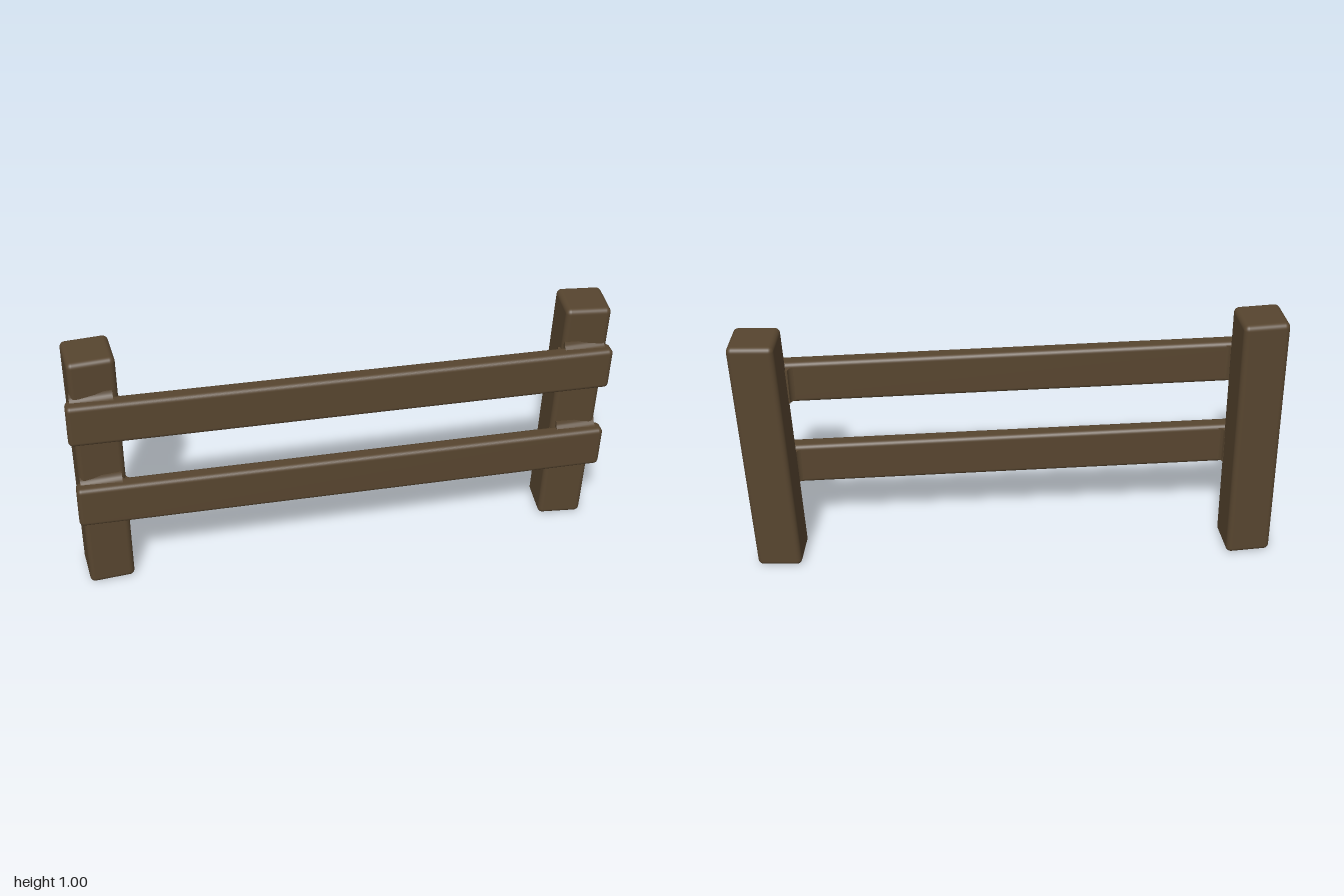
import * as THREE from 'three';
import { RoundedBoxGeometry } from 'three/addons/geometries/RoundedBoxGeometry.js';
import { toCreasedNormals } from 'three/addons/utils/BufferGeometryUtils.js';

const wood = new THREE.MeshStandardMaterial({ color: 0x57452f });
wood.name = 'dark brown wood';

const X = new THREE.Vector3(1, 0, 0);
const Y = new THREE.Vector3(0, 1, 0);
const Z = new THREE.Vector3(0, 0, 1);
const neg = (v) => v.clone().negate();

function addMesh(group, name, geometry) {
  const mesh = new THREE.Mesh(geometry, wood);
  mesh.name = name;
  group.add(mesh);
  return mesh;
}

// Concave strip filling the inside corner between directions u and v
function filletGeometry(corner, u, v, length, r) {
  const sunk = -0.015;
  const shape = new THREE.Shape();
  shape.moveTo(sunk, sunk);
  shape.lineTo(r, sunk);
  shape.lineTo(r, 0);
  shape.quadraticCurveTo(r * 0.15, r * 0.15, 0, r);
  shape.lineTo(sunk, r);
  shape.closePath();
  const geo = new THREE.ExtrudeGeometry(shape, { depth: length, bevelEnabled: false, curveSegments: 5 });
  geo.translate(0, 0, -length / 2);
  const w = new THREE.Vector3().crossVectors(u, v);
  geo.applyMatrix4(new THREE.Matrix4().makeBasis(u, v, w).setPosition(...corner));
  return toCreasedNormals(geo, 0.6);
}

export function createModel() {
  const fence = new THREE.Group();
  fence.name = 'fence';

  // Posts: slightly leaning and twisted square timbers
  const posts = [
    { name: 'rightPost', x: -0.902, height: 1.0, twist: 0.08, lean: -0.015 },
    { name: 'leftPost', x: 0.894, height: 0.958, twist: -0.09, lean: -0.03 },
  ];
  for (const p of posts) {
    const h = p.height - 0.004;
    const post = addMesh(fence, p.name, new RoundedBoxGeometry(0.168, h, 0.168, 4, 0.02));
    post.position.set(p.x, 0.002 + h / 2, -0.02);
    post.rotation.set(0.008, p.twist, p.lean, 'ZXY');
  }

  // Rails: planks sloping down towards the shorter post
  const railHeight = 0.166;
  const slope = -0.026;
  const rails = [
    { name: 'upperRail', y: 0.74 },
    { name: 'lowerRail', y: 0.379 },
  ];
  for (const r of rails) {
    const rail = addMesh(fence, r.name, new RoundedBoxGeometry(1.99, railHeight, 0.062, 4, 0.018));
    rail.position.set(-0.002, r.y, 0.084);
    rail.rotation.z = slope;

    // Soft joints where the rail meets each post
    for (const p of posts) {
      const side = Math.sign(p.x);
      const y = r.y + slope * p.x;
      const half = railHeight / 2 - 0.003;
      const joint = new THREE.Group();
      joint.name = r.name + (side > 0 ? 'LeftJoint' : 'RightJoint');
      addMesh(joint, 'topFillet', filletGeometry([p.x, y + half, 0.064], Y, Z, 0.15, 0.028));
      addMesh(joint, 'bottomFillet', filletGeometry([p.x, y - half, 0.064], Z, neg(Y), 0.15, 0.028));
      const inner = [p.x - side * 0.088, y, 0.054];
      const [u, v] = side < 0 ? [X, neg(Z)] : [neg(Z), neg(X)];
      addMesh(joint, 'innerFillet', filletGeometry(inner, u, v, 0.14, 0.022));
      fence.add(joint);
    }
  }
  return fence;
}
